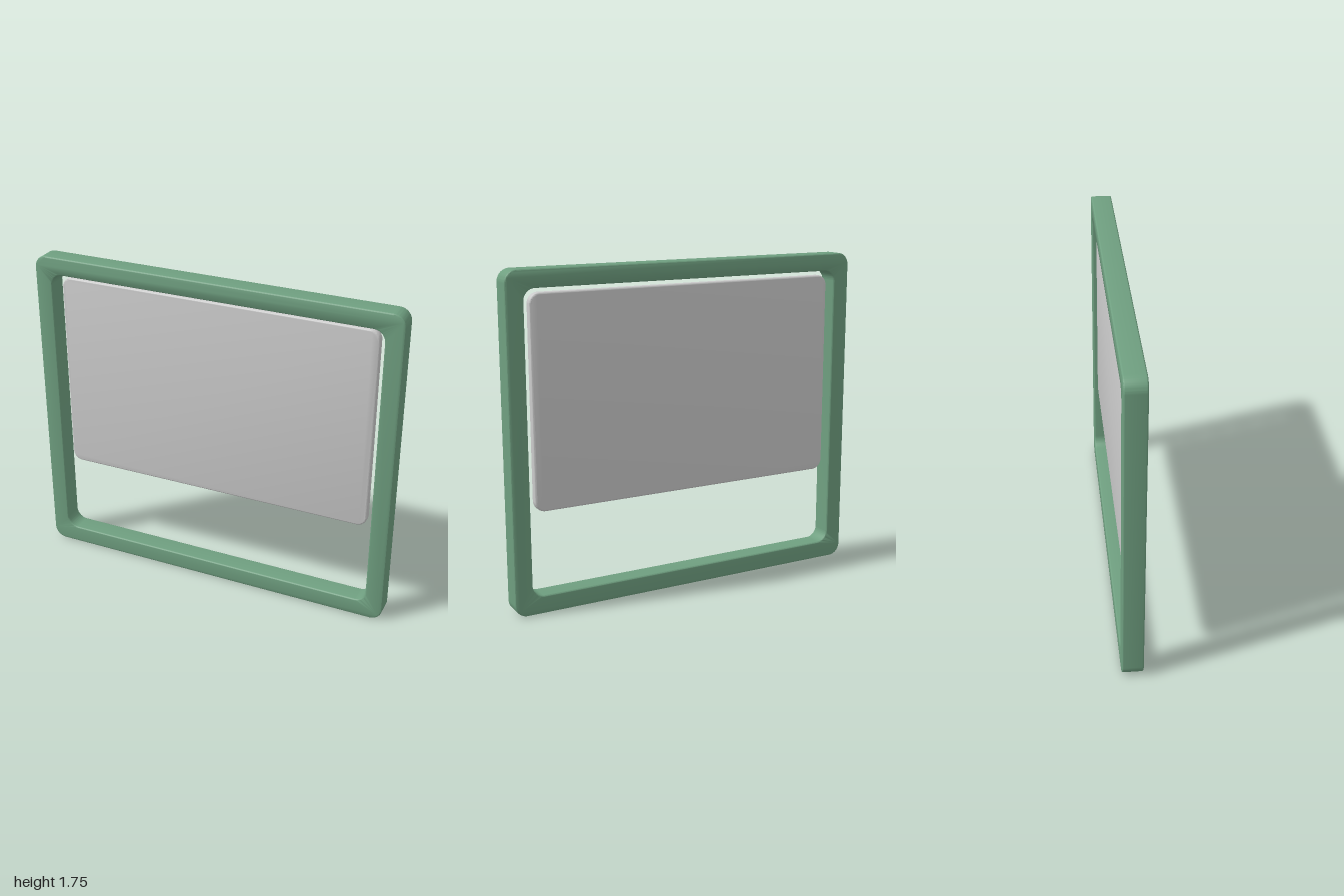
import * as THREE from 'three';
import { toCreasedNormals } from 'three/addons/utils/BufferGeometryUtils.js';

// Traces a rounded rectangle, given its edges and corner radius
function roundedRect(path, x0, y0, x1, y1, r) {
  path.moveTo(x0 + r, y0);
  path.lineTo(x1 - r, y0);
  path.absarc(x1 - r, y0 + r, r, -Math.PI / 2, 0);
  path.lineTo(x1, y1 - r);
  path.absarc(x1 - r, y1 - r, r, 0, Math.PI / 2);
  path.lineTo(x0 + r, y1);
  path.absarc(x0 + r, y1 - r, r, Math.PI / 2, Math.PI);
  path.lineTo(x0, y0 + r);
  path.absarc(x0 + r, y0 + r, r, Math.PI, Math.PI * 1.5);
  return path;
}

// Extrudes a shape from zBack to zFront with softly rounded edges
function slab(name, shape, zBack, zFront, bevel, color) {
  const geometry = new THREE.ExtrudeGeometry(shape, {
    depth: zFront - zBack - 2 * bevel,
    bevelThickness: bevel,
    bevelSize: bevel,
    bevelOffset: -bevel,
    bevelSegments: 4,
    curveSegments: 10,
  });
  geometry.translate(0, 0, zBack + bevel);
  const mesh = new THREE.Mesh(
    toCreasedNormals(geometry, Math.PI / 5),
    new THREE.MeshStandardMaterial({ color })
  );
  mesh.name = name;
  return mesh;
}

export function createModel() {
  const group = new THREE.Group();
  group.name = 'framedPanel';

  // Outer frame with one large opening
  const frame = roundedRect(new THREE.Shape(), -1, 0, 1, 1.745, 0.065);
  frame.holes.push(roundedRect(new THREE.Path(), -0.905, 0.095, 0.905, 1.652, 0.06));
  group.add(slab('frame', frame, -0.055, 0.055, 0.008, 0x6f9f80));

  // Thin panel held in the upper part of the opening
  const panel = roundedRect(new THREE.Shape(), -0.87, 0.53, 0.87, 1.628, 0.055);
  group.add(slab('panel', panel, -0.035, 0.01, 0.01, 0xcccccc));

  return group;
}
